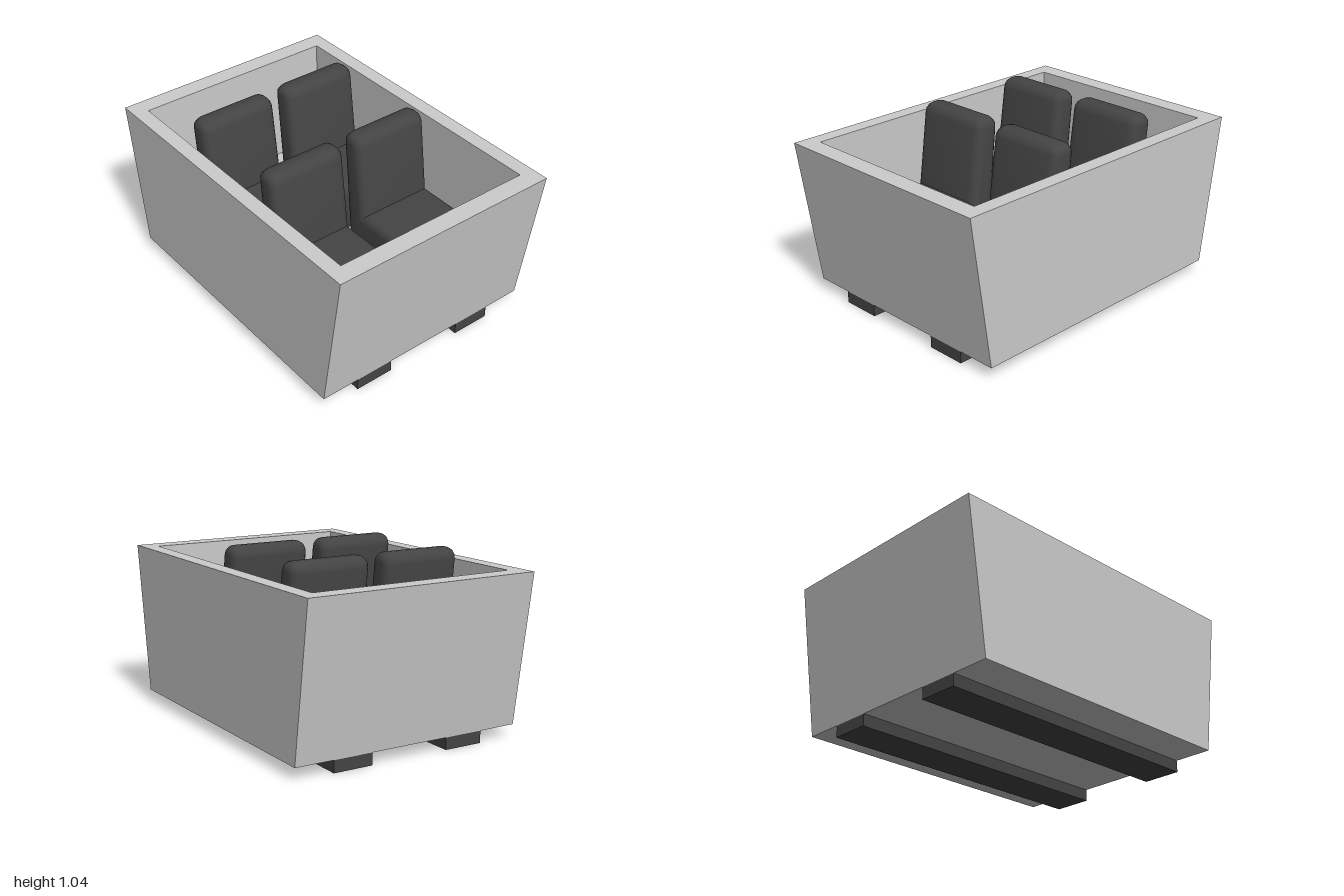
import * as THREE from 'three';
import { toCreasedNormals } from 'three/addons/utils/BufferGeometryUtils.js';

const grey = new THREE.MeshStandardMaterial({ color: 0xcccccc });
const dark = new THREE.MeshStandardMaterial({ color: 0x444444 });

// Open tub: rectangular loops running up the outside, over the rim and down to the floor
function tubGeometry() {
  const loops = [ // half width, height, half depth
    [0.87, 0.07, 0.705],
    [1, 0.95, 0.705],
    [0.89, 0.95, 0.615],
    [0.89, 0.26, 0.615],
  ].map(([w, y, d]) => [[w, y, d], [w, y, -d], [-w, y, -d], [-w, y, d]]);

  const positions = [];
  const quad = (a, b, c, d) => positions.push(...a, ...b, ...c, ...a, ...c, ...d);
  for (let i = 0; i < loops.length - 1; i++) {
    for (let k = 0; k < 4; k++) {
      const n = (k + 1) % 4;
      quad(loops[i][k], loops[i][n], loops[i + 1][n], loops[i + 1][k]);
    }
  }
  quad(...loops[0].slice().reverse()); // underside
  quad(...loops[3]); // inner floor

  const geometry = new THREE.BufferGeometry();
  geometry.setAttribute('position', new THREE.Float32BufferAttribute(positions, 3));
  geometry.computeVertexNormals();
  return geometry;
}

// Polygon with every corner slightly rounded
function roundedShape(points, r) {
  const shape = new THREE.Shape();
  const pts = points.map(([x, y]) => new THREE.Vector2(x, y));
  pts.forEach((p, i) => {
    const prev = pts[(i + pts.length - 1) % pts.length];
    const next = pts[(i + 1) % pts.length];
    const a = p.clone().add(prev.clone().sub(p).setLength(r));
    const b = p.clone().add(next.clone().sub(p).setLength(r));
    if (i === 0) shape.moveTo(a.x, a.y);
    else shape.lineTo(a.x, a.y);
    shape.quadraticCurveTo(p.x, p.y, b.x, b.y);
  });
  shape.closePath();
  return shape;
}

// Seat: L-shaped side profile with a leaning back, padded by a round bevel
function seatGeometry() {
  const profile = roundedShape([
    [0.12, 0.25], [0.51, 0.25], [0.51, 0.51],
    [0.165, 0.51], [0.1, 0.99], [0.05, 0.99],
  ], 0.015);
  const depth = 0.375;
  const geometry = new THREE.ExtrudeGeometry(profile, {
    depth, curveSegments: 3,
    bevelEnabled: true, bevelSize: 0.05, bevelThickness: 0.055, bevelSegments: 4,
  });
  geometry.translate(0, 0, -depth / 2);
  return toCreasedNormals(geometry, 0.8);
}

export function createModel() {
  const model = new THREE.Group();
  model.name = 'openCar';

  const add = (name, geometry, material, x = 0, y = 0, z = 0) => {
    const mesh = new THREE.Mesh(geometry, material);
    mesh.name = name;
    mesh.position.set(x, y, z);
    model.add(mesh);
  };

  add('body', tubGeometry(), grey);

  // Two rows of two seats, and a runner under each side
  const seat = seatGeometry();
  const runner = new THREE.BoxGeometry(1.74, 0.07, 0.235);
  for (const [side, sign] of [['left', -1], ['right', 1]]) {
    add(side + 'RearSeat', seat, dark, -0.57, 0, sign * 0.29);
    add(side + 'FrontSeat', seat, dark, 0.07, 0, sign * 0.29);
    add(side + 'Runner', runner, dark, 0, 0.035, sign * 0.357);
  }

  return model;
}
